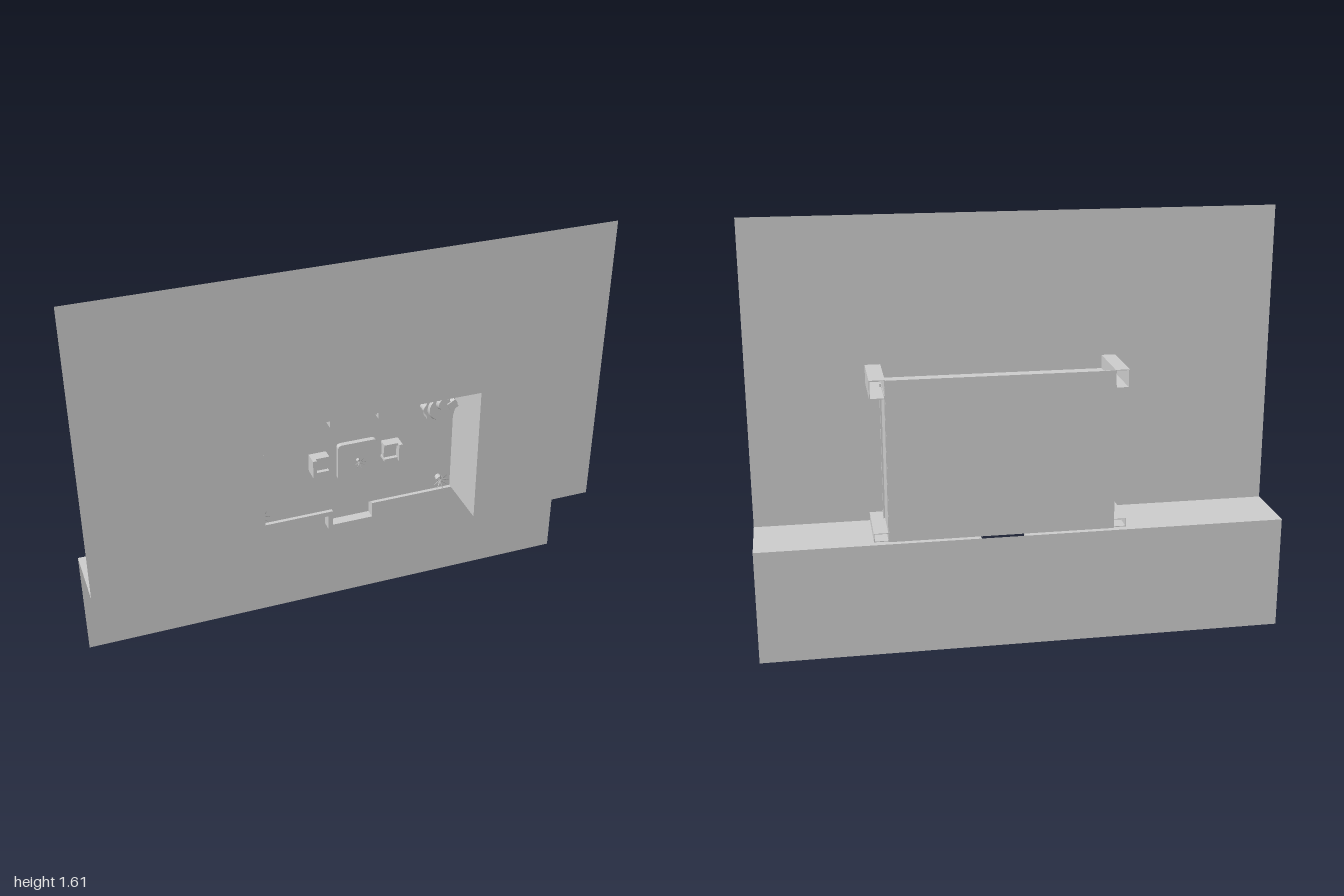
import * as THREE from 'three';

export function createModel() {
  const root = new THREE.Group();
  const grey = new THREE.MeshStandardMaterial({ color: 0xcccccc, side: THREE.DoubleSide });
  grey.name = 'plain grey';

  const add = (name, geo, parent = root) => {
    const m = new THREE.Mesh(geo, grey);
    m.name = name;
    parent.add(m);
    return m;
  };
  // Box given by its lower and upper bounds on each axis
  const box = (name, x0, x1, y0, y1, z0, z1, parent = root) => {
    const m = add(name, new THREE.BoxGeometry(x1 - x0, y1 - y0, z1 - z0), parent);
    m.position.set((x0 + x1) / 2, (y0 + y1) / 2, (z0 + z1) / 2);
    return m;
  };
  // Disc or post rising along z from the room floor
  const post = (name, x, y, z0, z1, r0, r1 = r0, sides = 24, parent = root) => {
    const m = add(name, new THREE.CylinderGeometry(r1, r0, z1 - z0, sides), parent);
    m.rotation.x = Math.PI / 2;
    m.position.set(x, y, (z0 + z1) / 2);
    return m;
  };
  const outline = pts => new THREE.Shape(pts.map(p => new THREE.Vector2(...p)));
  const T = 0.003, FLOOR = -0.105, FRONT = 0.13, BACK = -0.13;
  const L = -0.34, R = 0.505, TOP = 1.0, BASE = 0.44;

  // Thin ground sheet around the open room
  const sheet = outline([[-1, BASE], [L, BASE], [L, TOP], [R, TOP], [R, BASE], [1, BASE], [1, 1.61], [-1, 1.61]]);
  add('upperSheet', new THREE.ShapeGeometry(sheet)).position.z = FRONT;
  add('lowerSheet', new THREE.ShapeGeometry(outline([[-1, 0], [1, 0], [1, BASE], [-1, BASE]]))).position.z = BACK;

  // Ledge joining the sheets, open in front of the room
  const ledge = outline([[-1, -FRONT], [-0.39, -FRONT], [-0.39, 0.1], [0, 0.1], [0, 0.13], [-1, 0.13]]);
  const ledge2 = outline([[1, -FRONT], [0.56, -FRONT], [0.56, 0.1], [0.165, 0.1], [0.165, 0.13], [1, 0.13]]);
  for (const s of [ledge, ledge2]) {
    const m = add('ledge', new THREE.ShapeGeometry(s));
    m.rotation.x = -Math.PI / 2;
    m.position.y = BASE;
  }

  // Room floor
  box('roomFloor', L, R, BASE, 1.055, FLOOR - T, FLOOR);

  // Walls: a deep lower band, a rail, and an upper band
  for (const [z0, z1, out] of [[FLOOR, 0.055, 0], [0.055, 0.07, 0.006], [0.07, FRONT, 0]]) {
    box('sideWall', L - T - out, L, BASE, TOP, z0, z1);
    box('sideWall', R, R + T + out, BASE, TOP, z0, z1);
    box('endWall', L, R, TOP, TOP + T + out, z0, z1);
  }
  // Upright dividers on the outer side walls
  for (const y of [0.475, 0.65, 0.8, 0.985])
    for (const x of [L - 0.007, R]) box('wallDivider', x, x + 0.007, y - 0.003, y + 0.003, 0.07, FRONT);

  // Hollow corner casings
  for (const [inner, outer] of [[L, -0.39], [R, 0.56]]) {
    const a = Math.min(inner, outer), b = Math.max(inner, outer);
    for (const [y0, y1] of [[BASE, 0.473], [0.985, 1.055]]) {
      box('cornerOuterFace', outer - T / 2, outer + T / 2, y0, y1, -0.1, FRONT);
      box('cornerTopFace', a, b, y1 - T, y1, -0.1, FRONT);
      box('cornerBottomFace', a, b, y0, y0 + T, -0.1, FRONT);
    }
    box('cornerInnerFace', inner - T / 2, inner + T / 2, TOP, 1.055, -0.1, FRONT);
  }

  // Curb with a stepped porch
  const curb = outline([
    [-0.39, 0.44], [0, 0.44], [0, 0.375], [0.165, 0.375], [0.165, 0.44], [0.56, 0.44],
    [0.56, 0.42], [0.185, 0.42], [0.185, 0.36], [-0.02, 0.36], [-0.02, 0.42], [-0.39, 0.42]]);
  add('porchCurb', new THREE.ExtrudeGeometry(curb, { depth: 0.04, bevelEnabled: false })).position.z = BACK;

  // Table with rounded corners
  const top = new THREE.Shape(), r = 0.015, h = 0.08;
  for (const [cx, cy, a] of [[1, 1, 0], [-1, 1, 1], [-1, -1, 2], [1, -1, 3]])
    top.absarc(cx * (h - r), cy * (h - r), r, a * Math.PI / 2, (a + 1) * Math.PI / 2, false);
  add('tableTop', new THREE.ExtrudeGeometry(top, { depth: 0.02, bevelEnabled: false, curveSegments: 5 }))
    .position.set(0.09, 0.68, -0.078);
  post('tableLeg', 0.09, 0.68, FLOOR, -0.075, 0.04);

  // Leafy plant: a pot with tilted pointed leaves
  const plant = (x, y, z, s) => {
    const g = new THREE.Group();
    g.name = 'plant';
    g.position.set(x, y, z);
    g.scale.setScalar(s);
    root.add(g);
    post('plantPot', 0, 0, 0, 0.03, 0.012, 0.017, 12, g);
    for (let i = 0; i < 8; i++) {
      const a = i * Math.PI / 4 + 0.2;
      const leaf = add('leaf', new THREE.ConeGeometry(0.009, 0.045, 4), g);
      leaf.scale.z = 0.3;
      leaf.position.set(Math.cos(a) * 0.02, Math.sin(a) * 0.02, 0.038);
      leaf.quaternion.setFromUnitVectors(new THREE.Vector3(0, 1, 0),
        new THREE.Vector3(Math.cos(a), Math.sin(a), 0.5).normalize());
    }
  };
  plant(-0.3, 0.495, FLOOR, 1);
  plant(0.45, 0.495, FLOOR, 1);
  plant(0.09, 0.683, -0.058, 0.6);

  // Pair of armchairs facing the table
  for (const s of [-1, 1]) {
    const g = new THREE.Group();
    g.name = 'armchair';
    g.position.set(0.09 + s * 0.148, 0.68, FLOOR);
    if (s < 0) g.rotation.z = Math.PI;
    root.add(g);
    box('seat', -0.032, 0.025, -0.027, 0.027, 0, 0.025, g);
    box('backrest', 0.02, 0.035, -0.037, 0.037, 0, 0.055, g);
    for (const y of [-0.037, 0.027]) box('armrest', -0.035, 0.025, y, y + 0.01, 0, 0.04, g);
  }

  // Sofa
  box('sofaSeat', -0.01, 0.175, 0.855, 0.89, FLOOR, -0.08);
  box('sofaBack', -0.02, 0.185, 0.88, 0.905, FLOOR, -0.05);
  for (const x of [-0.02, 0.175]) box('sofaArm', x, x + 0.01, 0.845, 0.9, FLOOR, -0.065);

  // Sideboard with three round bowls, and a wall cabinet
  box('sideboard', L, -0.29, 0.648, 0.795, FLOOR, -0.04);
  for (const y of [0.685, 0.722, 0.76]) post('bowl', -0.315, y, -0.04, -0.025, 0.01, 0.017, 16);
  box('wallCabinet', L, -0.31, 0.86, 0.945, FLOOR, -0.03);
  box('cabinetPanel', -0.332, -0.316, 0.87, 0.935, -0.03, -0.025);

  // Scalloped lounge seat with cushions
  const rim = new THREE.Shape();
  for (let i = 0; i <= 64; i++) {
    const a = i / 64 * Math.PI * 2, d = 0.068 + 0.004 * Math.cos(a * 8);
    rim[i ? 'lineTo' : 'moveTo'](Math.cos(a) * d, Math.sin(a) * d);
  }
  add('loungeSeat', new THREE.ExtrudeGeometry(rim, { depth: 0.035, bevelEnabled: false }))
    .position.set(0.435, 0.84, FLOOR);
  post('loungeCushion', 0.435, 0.84, -0.07, -0.06, 0.055, 0.05, 32);
  post('roundPillow', 0.44, 0.865, -0.06, -0.045, 0.03, 0.024);
  box('smallPillow', 0.455, 0.49, 0.84, 0.875, -0.06, -0.04).rotation.z = 0.5;

  // Oval footstool
  const stool = post('footstool', 0.39, 0.945, FLOOR, -0.07, 0.042, 0.038);
  stool.scale.z = 0.65;
  stool.rotation.y = 0.2;

  // Lamps against the end wall
  for (const [x, tilt] of [[-0.265, -0.3], [0.42, 0.3]]) {
    post('lampPole', x, 0.98, FLOOR, -0.03, 0.008, 0.008, 12);
    post('lampShade', x, 0.98, -0.04, -0.005, 0.022, 0.014, 16);
    box('lampBase', x - 0.03, x + 0.03, 0.97, 0.985, FLOOR, -0.09).rotation.z = tilt;
  }
  return root;
}
